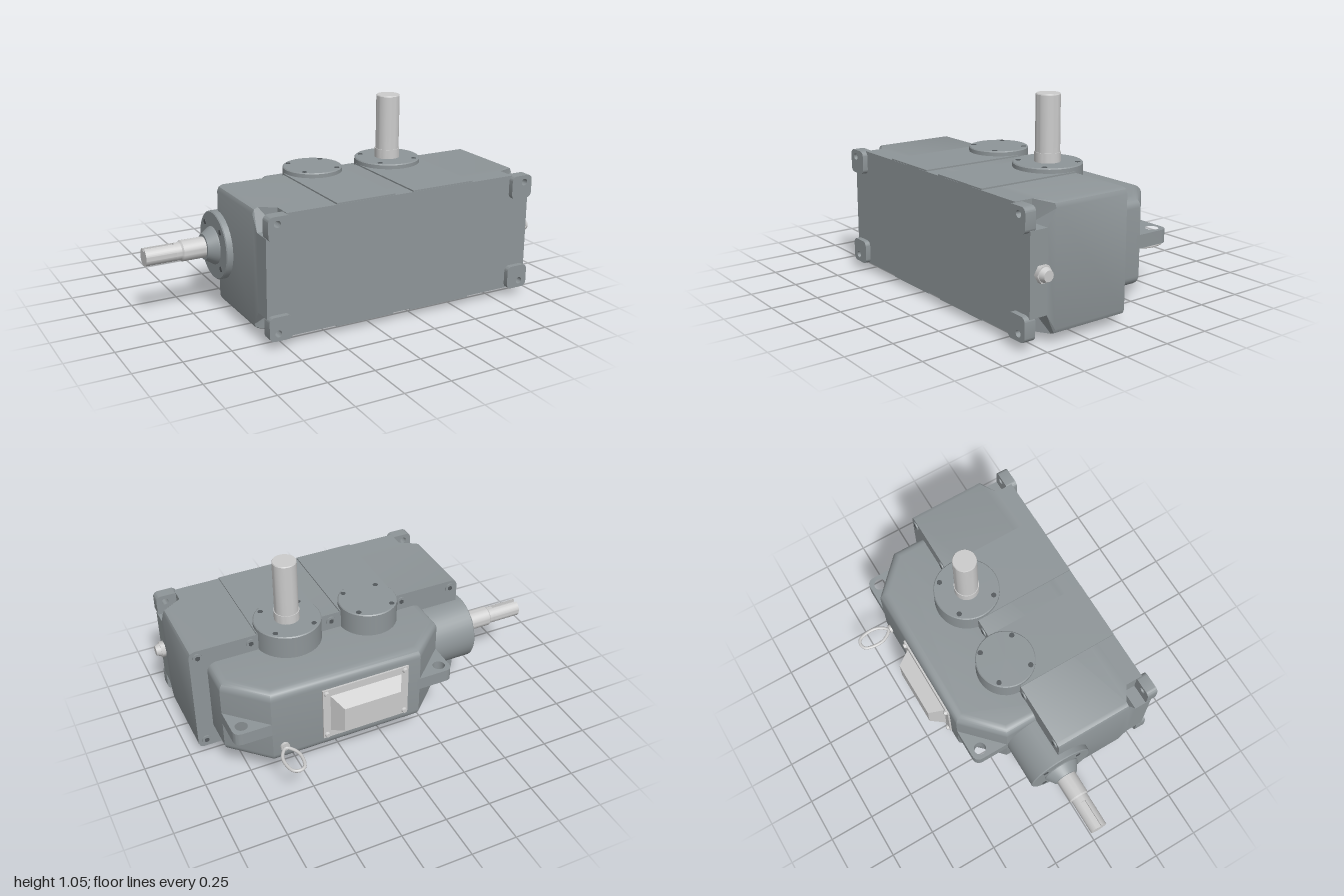
import * as THREE from 'three';
import { toCreasedNormals } from 'three/addons/utils/BufferGeometryUtils.js';

const paint = new THREE.MeshStandardMaterial({ color: 0x8e9598 });
const steel = new THREE.MeshStandardMaterial({ color: 0xcccccc });
const dark = new THREE.MeshStandardMaterial({ color: 0x54595c });

export function createModel() {
  const model = new THREE.Group();
  const add = (name, geo, mat, x = 0, y = 0, z = 0) => {
    const m = new THREE.Mesh(geo, mat);
    m.name = name;
    m.position.set(x, y, z);
    model.add(m);
    return m;
  };
  const extrude = (shape, depth, opts = {}) => toCreasedNormals(
    new THREE.ExtrudeGeometry(shape, { depth, bevelEnabled: false, curveSegments: 10, ...opts }), 0.6);
  const plan = (shape, depth, opts) => extrude(shape, depth, opts).rotateX(-Math.PI / 2);
  const hole = (x, y, r) => new THREE.Path().absarc(x, y, r, 0, Math.PI * 2, true);
  const lathe = (pts) => toCreasedNormals(
    new THREE.LatheGeometry(pts.map(p => new THREE.Vector2(...p)), 40), 0.5);

  // Main case: cross-sections along z, corners cut away behind the feet
  const cx = 0.18, cy = 0.357, hx = 0.77, hy = 0.315;
  const section = (n, mid) => {
    const corner = [[hx, hy - n], [hx - mid, hy - mid], [hx - n, hy]];
    const out = [];
    for (const [sx, sy] of [[1, 1], [-1, 1], [-1, -1], [1, -1]]) {
      const c = corner.map(([x, y]) => [x * sx, y * sy]);
      out.push(...(sx * sy > 0 ? c : c.reverse()));
    }
    return out;
  };
  const rings = [[-0.012, 0.03, 0.009], [0.415, 0.03, 0.009], [0.465, 0.11, 0.11], [0.562, 0.11, 0.11]]
    .map(([z, n, mid]) => section(n, mid).map(([x, y]) => [x, y, z]));
  const pos = [], idx = [];
  rings.forEach(r => r.forEach(p => pos.push(...p)));
  const N = rings[0].length;
  for (let k = 0; k < rings.length - 1; k++) {
    for (let i = 0; i < N; i++) {
      const a = k * N + i, b = k * N + (i + 1) % N;
      idx.push(a, b, b + N, a, b + N, a + N);
    }
  }
  const cap = (k, flip) => {
    const outline = rings[k].map(p => new THREE.Vector2(p[0], p[1]));
    for (const [a, b, c] of THREE.ShapeUtils.triangulateShape(outline, [])) {
      idx.push(k * N + a, k * N + (flip ? c : b), k * N + (flip ? b : c));
    }
  };
  cap(0, true);
  cap(rings.length - 1, false);
  const caseGeo = new THREE.BufferGeometry();
  caseGeo.setAttribute('position', new THREE.Float32BufferAttribute(pos, 3));
  caseGeo.setIndex(idx);
  add('mainCase', toCreasedNormals(caseGeo, 0.5), paint, cx, cy, 0);

  // Raised bands running across the case under the bearing bosses
  for (const [x0, x1] of [[-0.21, 0.12], [0.225, 0.585]]) {
    add('caseBand', new THREE.BoxGeometry(x1 - x0, 0.645, 0.572), paint, (x0 + x1) / 2, cy, 0.275);
  }

  // Four mounting feet with bolt holes
  for (const sx of [-1, 1]) for (const sy of [-1, 1]) {
    const w = 0.0625, r = 0.028, s = new THREE.Shape();
    s.absarc(w - r, w - r, r, 0, Math.PI / 2);
    s.absarc(r - w, w - r, r, Math.PI / 2, Math.PI);
    s.absarc(r - w, r - w, r, Math.PI, Math.PI * 1.5);
    s.absarc(w - r, r - w, r, Math.PI * 1.5, Math.PI * 2);
    s.holes.push(hole(sx * 0.015, sy * 0.025, 0.018));
    add('foot', extrude(s, 0.06), paint, cx + sx * (hx - w), cy + sy * (hy - w), 0.53);
  }

  // Rear housing: chamfered plan with rounded upper and lower edges
  const h = new THREE.Shape();
  [[-0.37, -0.12], [0.86, -0.12], [0.86, 0.19], [0.665, 0.382], [-0.17, 0.382], [-0.37, 0.19]]
    .forEach(([x, y], i) => (i ? h.lineTo(x, y) : h.moveTo(x, y)));
  add('rearHousing', plan(h, 0.347, {
    bevelEnabled: true, bevelSize: 0.05, bevelThickness: 0.05, bevelOffset: -0.05, bevelSegments: 6,
  }), paint, 0, 0.18, 0);

  // Lifting ears filling the chamfered corners
  for (const s of [-1, 1]) {
    const X = v => 0.245 + s * v, R = 0.045, e = new THREE.Shape();
    e.moveTo(X(0.40), 0.382);
    e.lineTo(X(0.615 - R), 0.382);
    e.quadraticCurveTo(X(0.615), 0.382, X(0.615), 0.382 - R);
    e.lineTo(X(0.615), 0.17);
    e.lineTo(X(0.5), 0.17);
    e.lineTo(X(0.36), 0.31);
    e.holes.push(hole(X(0.56), 0.325, 0.033));
    add('liftingEar', plan(e, 0.07), paint, 0, 0.318, 0);
  }

  // Vertical bearing bosses with four cap screws at each end
  for (const [x, z, r, b] of [[-0.045, -0.006, 0.158, 0.096], [0.403, 0.02, 0.178, 0.106]]) {
    add('bearingBoss', lathe([[0, 0], [r - 0.005, 0], [r, 0.005], [r, 0.7], [r - 0.005, 0.705], [0, 0.705]]),
      paint, x, 0, z);
    for (const sx of [-1, 1]) for (const sz of [-1, 1]) for (const y of [0.002, 0.704]) {
      add('bossScrew', new THREE.CylinderGeometry(0.014, 0.014, 0.004, 16), dark, x + sx * b, y, z + sz * b);
    }
  }

  // Output shaft
  add('outputShaft', lathe([[0, 0], [0.067, 0], [0.067, 0.055], [0.063, 0.055], [0.063, 0.345], [0.06, 0.35], [0, 0.35]]),
    steel, 0.403, 0.7, 0.021);

  // Input side: barrel, tapered cover, stepped shaft and keyed shaft end
  const inY = 0.355, inZ = -0.005;
  add('inputBarrel', lathe([[0, 0], [0.18, 0], [0.18, 0.27], [0.175, 0.275], [0, 0.275]]).rotateZ(Math.PI / 2),
    paint, -0.35, inY, inZ);
  add('inputSealCover', lathe([[0, 0], [0.1, 0], [0.1, 0.005], [0.068, 0.055], [0, 0.055]]).rotateZ(Math.PI / 2),
    paint, -0.625, inY, inZ);
  add('inputShaft', lathe([[0, 0], [0.055, 0], [0.055, 0.125], [0.047, 0.133], [0.047, 0.165], [0, 0.165]]).rotateZ(Math.PI / 2),
    steel, -0.677, inY, inZ);
  const key = new THREE.Shape(), kr = 0.047, ka = 0.24;
  key.absarc(0, 0, kr, Math.PI / 2 + ka, Math.PI * 2.5 - ka);
  key.lineTo(kr * Math.sin(ka), 0.032);
  key.lineTo(-kr * Math.sin(ka), 0.032);
  add('keyedShaftEnd', extrude(key, 0.16, { curveSegments: 36 }).rotateY(Math.PI / 2), steel, -1, inY, inZ);
  for (let i = 0; i < 4; i++) {
    const a = Math.PI / 4 + i * Math.PI / 2;
    add('inputScrew', new THREE.CylinderGeometry(0.014, 0.014, 0.006, 16).rotateZ(Math.PI / 2), dark,
      -0.625, inY + 0.14 * Math.sin(a), inZ + 0.14 * Math.cos(a));
  }

  // Flange bolts along the rear joint face
  for (const y of [0.085, 0.63]) for (const x of [-0.545, -0.245, 0.17, 0.62, 0.905]) {
    add('flangeBolt', new THREE.CylinderGeometry(0.026, 0.026, 0.012, 20).rotateX(Math.PI / 2), paint, x, y, -0.013);
    add('boltSocket', new THREE.CylinderGeometry(0.014, 0.014, 0.004, 6).rotateX(Math.PI / 2), dark, x, y, -0.019);
  }

  // Hexagonal oil plug on the left end
  add('oilPlugHex', new THREE.CylinderGeometry(0.045, 0.045, 0.025, 6).toNonIndexed().rotateZ(-Math.PI / 2),
    steel, 0.962, 0.357, 0.495);
  add('oilPlugCap', new THREE.CylinderGeometry(0.027, 0.038, 0.028, 24).rotateZ(-Math.PI / 2), steel, 0.986, 0.357, 0.495);

  // Inspection cover: thin plate, sloped hood and corner screws
  add('coverPlate', new THREE.BoxGeometry(0.485, 0.31, 0.012), steel, 0.147, 0.353, -0.386);
  const hood = new THREE.BoxGeometry(0.405, 0.23, 0.082);
  const hp = hood.attributes.position;
  for (let i = 0; i < hp.count; i++) {
    if (hp.getZ(i) < 0) hp.setXY(i, hp.getX(i) * 0.78, hp.getY(i) * 0.62);
  }
  hood.computeVertexNormals();
  add('coverHood', hood, steel, 0.147, 0.353, -0.43);
  for (const sx of [-1, 1]) for (const sy of [-1, 1]) {
    add('coverScrew', new THREE.CylinderGeometry(0.016, 0.012, 0.014, 16).rotateX(Math.PI / 2), steel,
      0.147 + sx * 0.222, 0.353 + sy * 0.134, -0.398);
  }

  // Dipstick with a wire loop handle
  const loop = new THREE.CatmullRomCurve3(
    [[0, -0.402], [0.042, -0.455], [0.044, -0.53], [0.028, -0.57], [0, -0.581],
      [-0.028, -0.57], [-0.044, -0.53], [-0.042, -0.455]].map(([x, z]) => new THREE.Vector3(x, 0, z)), true);
  add('dipstickLoop', new THREE.TubeGeometry(loop, 64, 0.009, 10, true), steel, 0.603, 0.225, 0);
  add('dipstickCap', new THREE.CylinderGeometry(0.024, 0.024, 0.016, 20).rotateX(Math.PI / 2), steel, 0.603, 0.225, -0.388);

  return model;
}
